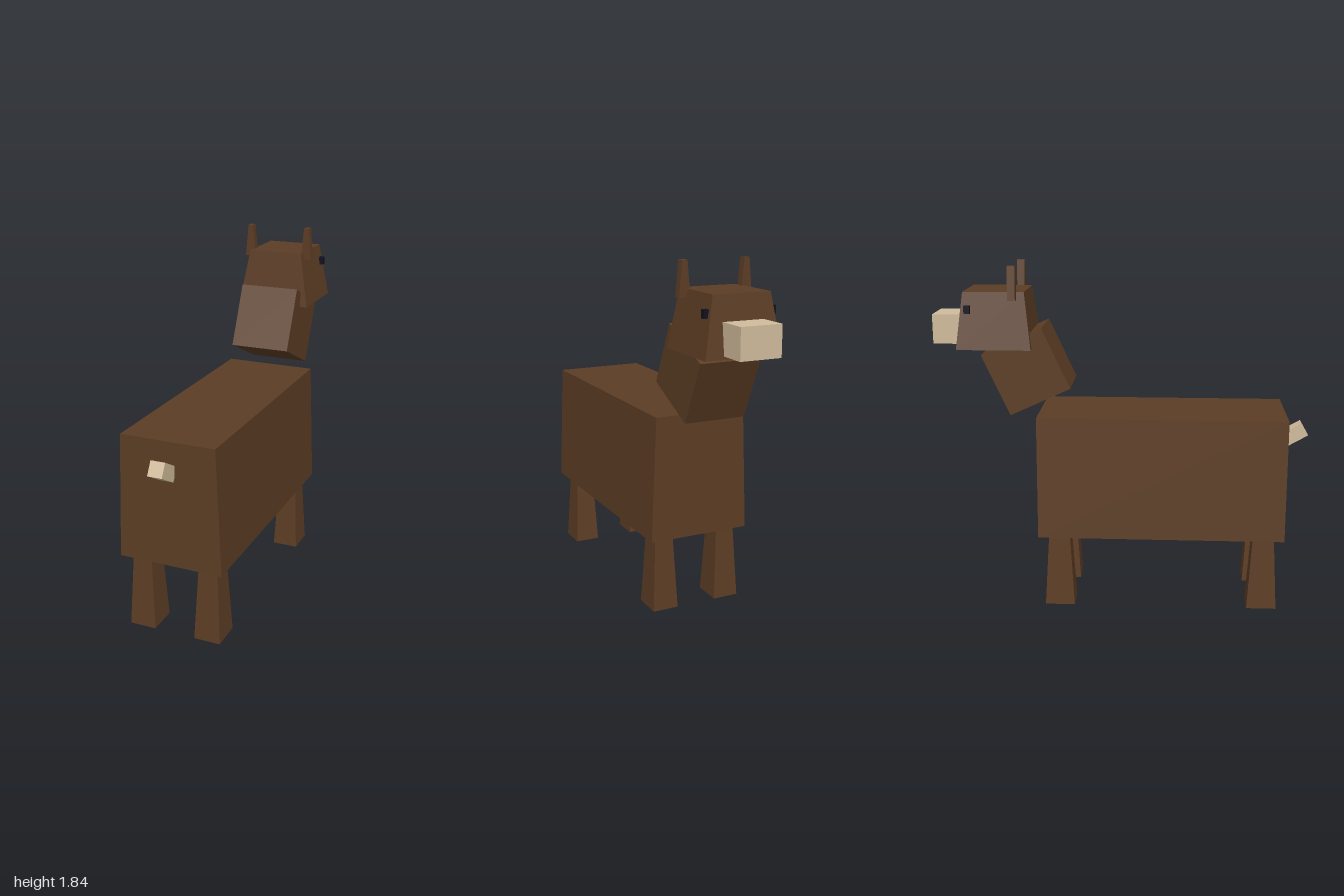
import * as THREE from 'three';

function makeMaterial(name, color) {
  const m = new THREE.MeshStandardMaterial({ color });
  m.name = name;
  return m;
}

// Box standing on y = 0 whose top is scaled by its own width and depth
function taperedBox(bottomW, bottomD, topW, topD, height) {
  const g = new THREE.BoxGeometry(1, height, 1);
  const p = g.attributes.position;
  for (let i = 0; i < p.count; i++) {
    const top = p.getY(i) > 0;
    p.setXYZ(i, p.getX(i) * (top ? topW : bottomW), top ? height : 0, p.getZ(i) * (top ? topD : bottomD));
  }
  g.computeVertexNormals();
  return g;
}

export function createModel() {
  const model = new THREE.Group();
  model.name = 'donkey';

  const brown = makeMaterial('brown coat', 0x5c3d24);
  const tan = makeMaterial('tan muzzle', 0xd0bb9b);
  const black = makeMaterial('eye black', 0x101020);

  const add = (name, geometry, material, x, y, z, tilt = 0) => {
    const mesh = new THREE.Mesh(geometry, material);
    mesh.name = name;
    mesh.position.set(x, y, z);
    mesh.rotation.x = tilt;
    model.add(mesh);
  };

  // Trunk, neck and tail
  add('body', taperedBox(0.55, 1.315, 0.497, 1.315, 0.655), brown, 0, 0.4, 0.2125);
  add('neck', new THREE.BoxGeometry(0.33, 0.352, 0.352), brown, 0, 1.2825, -0.505, -0.431);
  add('tail', new THREE.BoxGeometry(0.076, 0.076, 0.132), tan, 0, 0.9245, 0.923, -0.5236);

  // Head and muzzle, facing -z
  add('head', taperedBox(0.41, 0.39, 0.305, 0.32, 0.295), brown, 0, 1.405, -0.665);
  add('muzzle', new THREE.BoxGeometry(0.216, 0.155, 0.18), tan, 0, 1.4975, -0.91);

  // Mirrored parts
  const leg = taperedBox(0.14, 0.16, 0.1, 0.113, 0.4);
  const ear = taperedBox(0.06, 0.04, 0.028, 0.04, 0.175);
  const eye = new THREE.BoxGeometry(0.04, 0.042, 0.03);
  for (const [side, s] of [['left', 1], ['right', -1]]) {
    add(`${side} front leg`, leg, brown, 0.18 * s, 0, -0.335);
    add(`${side} back leg`, leg, brown, 0.18 * s, 0, 0.7625);
    add(`${side} ear`, ear, brown, 0.168 * s, 1.66, -0.565);
    add(`${side} eye`, eye, black, 0.17 * s, 1.611, -0.8);
  }

  return model;
}
